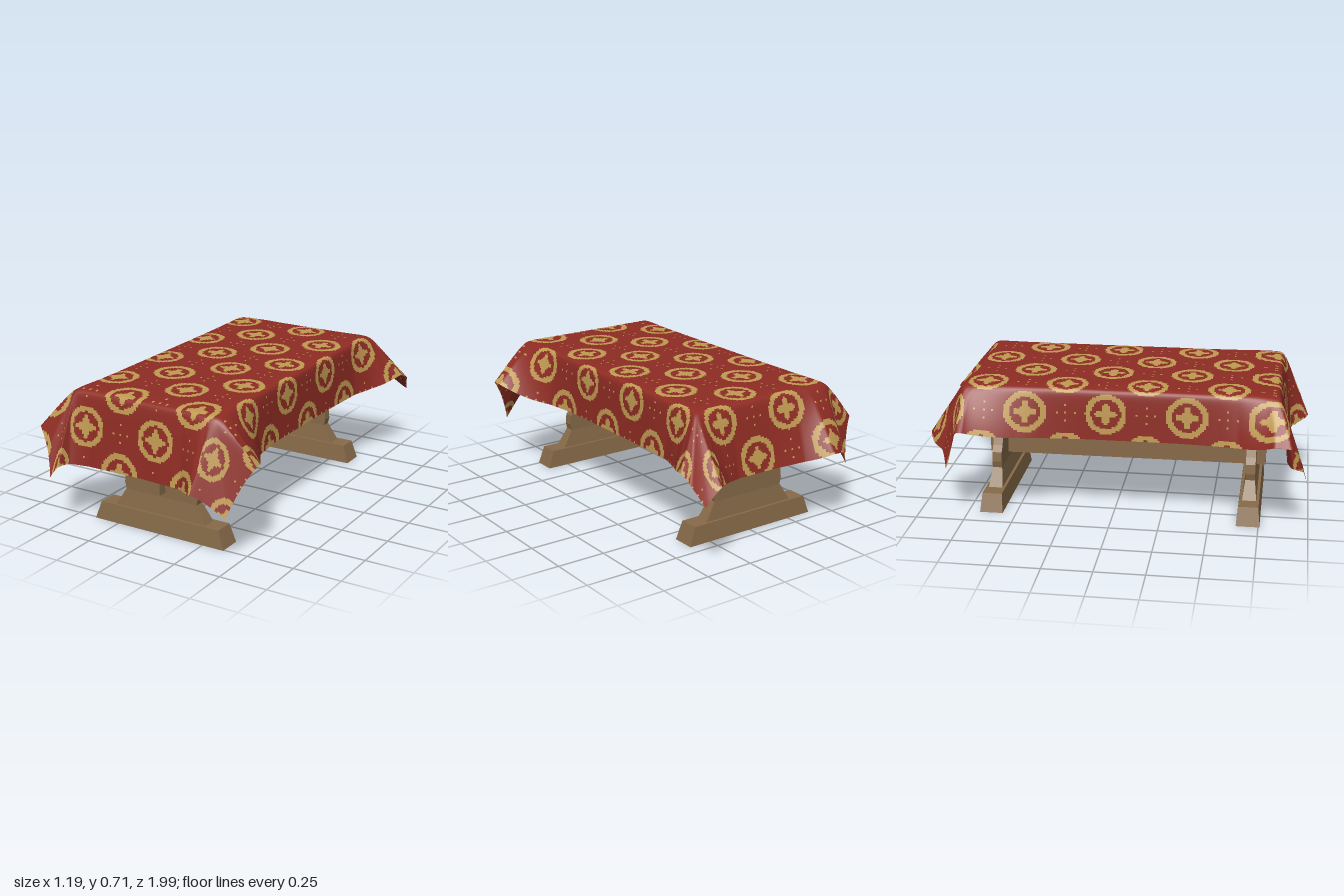
import * as THREE from 'three';

const { clamp, lerp } = THREE.MathUtils;

// Table top edges, cloth height, overhang of each side and softness of the top edge
const X0 = -0.43, X1 = 0.39, Z0 = -0.75, Z1 = 0.84, TOP = 0.712;
const HANG = { left: 0.26, right: 0.29, back: 0.36, front: 0.38 };
const STEP = 0.01, SOFT = 0.025;

// Hanging direction around each corner: [place, outward x, outward z].
// place < 0: distance along the long side, 0..1: around the corner, > 1: along the short side.
const CORNERS = {
  frontLeft: [
    [-0.5, 0.05, 0], [-0.3, 0.11, 0], [-0.2, 0.2, 0], [-0.1, 0.42, 0], [0, 0.64, 0], [0.2, 0.61, 0.24],
    [0.43, 0.27, 0.34], [0.6, 0.13, 0.32], [0.8, 0.05, 0.32], [0.95, 0, 0.2], [1.1, 0, 0.11], [1.4, 0, 0.1],
  ],
  backRight: [
    [-0.5, 0.05, 0], [-0.2, 0.09, 0], [-0.06, 0.25, 0], [0, 0.42, 0.1], [0.2, 0.53, 0.34], [0.42, 0.44, 0.5],
    [0.6, 0.25, 0.56], [0.8, 0.07, 0.63], [0.97, -0.08, 0.52], [1.08, -0.09, 0.32], [1.2, 0, 0.22], [1.4, 0, 0.22],
  ],
  frontRight: [
    [-0.5, 0.05, 0], [-0.33, 0.14, 0], [-0.2, 0.4, 0], [-0.05, 0.68, 0], [0.1, 0.7, -0.05],
    [0.57, 0.2, 0.15], [0.95, -0.15, 0.38], [1.05, -0.06, 0.35], [1.17, 0, 0.15], [1.4, 0, 0.1],
  ],
  backLeft: [
    [-0.6, 0.05, 0], [-0.42, 0.11, 0], [-0.28, 0.25, 0], [-0.14, 0.45, 0], [0, 0.64, -0.03], [0.12, 0.61, 0.02],
    [0.57, 0.2, 0.16], [0.85, 0.03, 0.3], [1.11, 0, 0.55], [1.22, 0, 0.3], [1.4, 0, 0.22],
  ],
};

function hangDirection(keys, place) {
  const p = clamp(place, keys[0][0], keys[keys.length - 1][0]);
  let i = 0;
  while (i < keys.length - 2 && p > keys[i + 1][0]) i++;
  const [a, b] = [keys[i], keys[i + 1]];
  const k = (p - a[0]) / (b[0] - a[0]);
  const ox = lerp(a[1], b[1], k), oz = lerp(a[2], b[2], k);
  return [ox, -Math.sqrt(1 - ox * ox - oz * oz), oz];
}

// Length of cloth past an edge, eased so that the edge is rounded
const overhang = (d) => (d + Math.sqrt(d * d + SOFT * SOFT)) / 2;

// Place a point of the flat cloth (s, t) on the draped surface
function drape(s, t) {
  const right = s > (X0 + X1) / 2, front = t > (Z0 + Z1) / 2;
  const sx = right ? 1 : -1, sz = front ? 1 : -1;
  const a = right ? s - X1 : X0 - s, b = front ? t - Z1 : Z0 - t;
  const ha = overhang(a), hb = overhang(b), h = Math.hypot(ha, hb);
  const place = Math.atan2(hb, ha) / (Math.PI / 2) + Math.min(b, 0) - Math.min(a, 0);
  const d = hangDirection(CORNERS[(front ? 'front' : 'back') + (right ? 'Right' : 'Left')], place);
  return [s + sx * (d[0] * h - ha), TOP + d[1] * h, t + sz * (d[2] * h - hb)];
}

// True where the woven ornament is gold: staggered rings, a cross in each, dots between
function isGold(s, t) {
  const v = t - 0.03 * clamp((t - 0.7) / 0.16, 0, 1);
  const col = Math.round((s + 0.35) / 0.205);
  const dx = s + 0.35 - col * 0.205;
  const row = (v - (col % 2 === 0 ? 0.18 : -0.02)) / 0.405;
  const dz = (row - Math.round(row)) * 0.405;
  const r = Math.hypot(dx, dz);
  if (r > 0.076 && r < 0.105) return true;
  if ((dx / 0.02) ** 2 + (dz / 0.058) ** 2 < 1) return true;
  if ((dx / 0.058) ** 2 + (dz / 0.023) ** 2 < 1) return true;
  const gx = Math.abs(dx), gz = 0.2025 - Math.abs(dz);
  const dot = (px, pz) => Math.abs(gx - px) < 0.005 && Math.abs(gz - pz) < 0.006;
  return dot(0, 0) || dot(0.04, 0) || dot(0, 0.045);
}

function makeCloth(materials) {
  const s0 = X0 - HANG.left, t0 = Z0 - HANG.back;
  const ns = Math.round((X1 + HANG.right - s0) / STEP);
  const nt = Math.round((Z1 + HANG.front - t0) / STEP);
  const positions = [], red = [], gold = [];
  for (let j = 0; j <= nt; j++) {
    for (let i = 0; i <= ns; i++) positions.push(...drape(s0 + i * STEP, t0 + j * STEP));
  }
  for (let j = 0; j < nt; j++) {
    for (let i = 0; i < ns; i++) {
      const a = j * (ns + 1) + i, b = a + ns + 1;
      const list = isGold(s0 + (i + 0.5) * STEP, t0 + (j + 0.5) * STEP) ? gold : red;
      list.push(a, b, b + 1, a, b + 1, a + 1);
    }
  }
  const geometry = new THREE.BufferGeometry();
  geometry.setAttribute('position', new THREE.Float32BufferAttribute(positions, 3));
  geometry.setIndex([...red, ...gold]);
  geometry.addGroup(0, red.length, 0);
  geometry.addGroup(red.length, gold.length, 1);
  geometry.computeVertexNormals();
  const mesh = new THREE.Mesh(geometry, materials);
  mesh.name = 'tablecloth';
  return mesh;
}

// Box standing on y, narrowing from bottom [width, depth] to top [width, depth]
function taperedBox(name, material, y, height, bottom, top) {
  const geometry = new THREE.BoxGeometry(1, height, 1);
  const p = geometry.attributes.position;
  for (let i = 0; i < p.count; i++) {
    const [w, d] = p.getY(i) > 0 ? top : bottom;
    p.setXYZ(i, p.getX(i) * w, p.getY(i) + y + height / 2, p.getZ(i) * d);
  }
  geometry.computeVertexNormals();
  const mesh = new THREE.Mesh(geometry, material);
  mesh.name = name;
  return mesh;
}

// Trestle post outline: [half width, height]
const POST = [
  [0.208, 0.185], [0.216, 0.22], [0.21, 0.27], [0.183, 0.3],
  [0.165, 0.34], [0.16, 0.42], [0.18, 0.5], [0.185, 0.56], [0.22, 0.6], [0.22, 0.7],
];

function makeTrestle(wood) {
  const group = new THREE.Group();
  const outline = [...POST, ...POST.map(([w, y]) => [-w, y]).reverse()];
  const shape = new THREE.Shape(outline.map(([x, y]) => new THREE.Vector2(x, y)));
  const geometry = new THREE.ExtrudeGeometry(shape, { depth: 0.05, bevelEnabled: false });
  geometry.translate(0, 0, -0.025);
  const post = new THREE.Mesh(geometry, wood);
  post.name = 'post';
  group.add(
    post,
    taperedBox('postBase', wood, 0.093, 0.092, [0.53, 0.073], [0.416, 0.05]),
    taperedBox('foot', wood, 0, 0.094, [0.76, 0.12], [0.695, 0.102]),
  );
  return group;
}

export function createModel() {
  const wood = new THREE.MeshStandardMaterial({ color: 0x876a48 });
  wood.name = 'wood';
  const red = new THREE.MeshStandardMaterial({ color: 0x8e2c23, side: THREE.DoubleSide });
  red.name = 'red cloth';
  const gold = new THREE.MeshStandardMaterial({ color: 0xc09a52, side: THREE.DoubleSide });
  gold.name = 'gold thread';

  const model = new THREE.Group();
  model.name = 'clothCoveredTable';
  model.add(makeCloth([red, gold]));

  for (const [name, z] of [['frontTrestle', 0.697], ['backTrestle', -0.63]]) {
    const trestle = makeTrestle(wood);
    trestle.name = name;
    trestle.position.set(-0.01, 0, z);
    model.add(trestle);
  }

  // Long beam passing through both trestles
  const beam = new THREE.Mesh(new THREE.BoxGeometry(0.072, 0.137, 1.47), wood);
  beam.name = 'beam';
  beam.position.set(-0.02, 0.281, 0.035);
  model.add(beam);
  return model;
}
